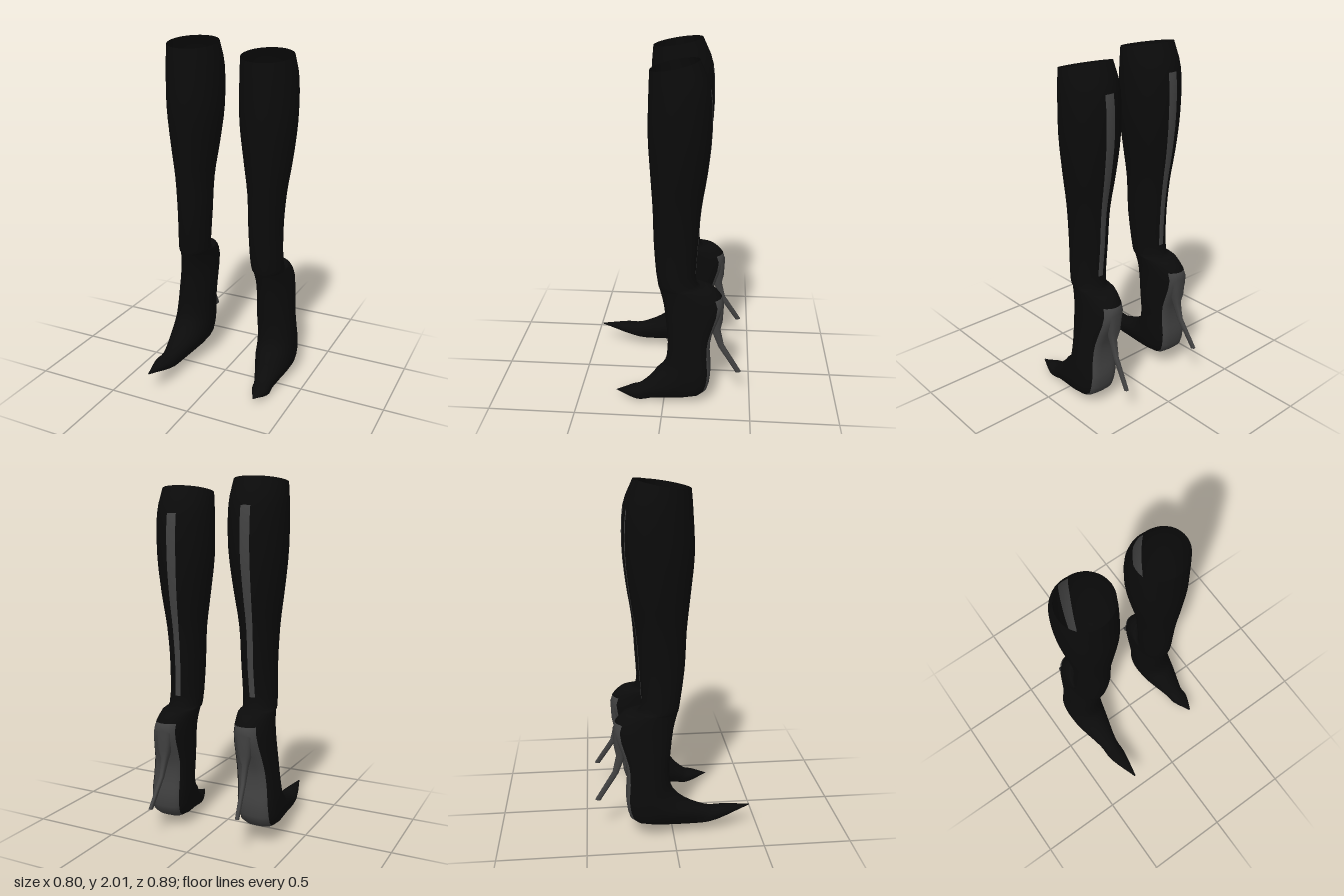
import * as THREE from 'three';

const black = new THREE.MeshStandardMaterial({ color: 0x0b0b0b, side: THREE.DoubleSide });
black.name = 'black leather';
const grey = new THREE.MeshStandardMaterial({ color: 0x424242, side: THREE.DoubleSide });
grey.name = 'charcoal sole';

const SEG = 36;
const STEPS = 3;
const { smoothstep } = THREE.MathUtils;

// Cross-sections from top to toe: front z, front y, back z, back y, centre x, half width
const BODY = [
  [0.10, 1.955, -0.18, 2.0, 0.22, 0.15],
  [0.11, 1.84, -0.24, 1.85, 0.22, 0.163],
  [0.12, 1.62, -0.25, 1.62, 0.22, 0.161],
  [0.10, 1.4, -0.23, 1.4, 0.225, 0.136],
  [0.08, 1.2, -0.2, 1.2, 0.228, 0.108],
  [0.07, 0.98, -0.184, 0.98, 0.228, 0.097],
  [0.04, 0.76, -0.18, 0.75, 0.24, 0.094],
  [0.03, 0.72, -0.27, 0.735, 0.243, 0.095],
  [0.005, 0.62, -0.335, 0.64, 0.253, 0.099],
  [-0.015, 0.45, -0.272, 0.45, 0.265, 0.107],
  [-0.018, 0.35, -0.262, 0.33, 0.275, 0.11],
  [0, 0.26, -0.268, 0.2, 0.283, 0.114],
  [0.08, 0.185, -0.21, 0.085, 0.288, 0.105],
  [0.2, 0.14, 0.1, 0.045, 0.288, 0.056],
  [0.29, 0.138, 0.25, 0.06, 0.288, 0.05],
  [0.45, 0.13, 0.45, 0.125, 0.278, 0.004],
];

// Stiletto, from the heel seat to its closed tip
const HEEL = [
  [-0.27, 0.6, -0.337, 0.64, 0.252, 0.05],
  [-0.265, 0.5, -0.332, 0.53, 0.253, 0.036],
  [-0.275, 0.45, -0.32, 0.47, 0.255, 0.019],
  [-0.31, 0.36, -0.343, 0.37, 0.259, 0.012],
  [-0.415, 0.2, -0.445, 0.207, 0.272, 0.01],
  [-0.43, 0.203, -0.43, 0.203, 0.272, 0],
];

// Adds in-between cross-sections along smooth curves
function refine(rings) {
  const count = (rings.length - 1) * STEPS;
  const track = (k) => new THREE.CatmullRomCurve3(
    rings.map((r) => new THREE.Vector3(r[k], r[k + 1], r[k + 2])), false, 'catmullrom', 0.5,
  ).getPoints(count);
  const first = track(0), second = track(3);
  return first.map((p, i) => [...p.toArray(), ...second[i].toArray()]);
}

// Skins a row of cross-sections; isGrey(row, degrees from the back) picks the colour of each face
function loft(rings, side, isGrey) {
  const positions = [];
  for (const [fz, fy, bz, by, cx, hw] of rings) {
    // The sole side of the foot is squarer than the rest
    const square = 2 + 1.5 * smoothstep(-by, -0.74, -0.3) * (1 - smoothstep(bz, 0.1, 0.45));
    for (let j = 0; j < SEG; j++) {
      const a = (j / SEG) * Math.PI * 2;
      const c = Math.cos(a), s = Math.sin(a);
      const e = c < 0 ? 2 / square : 1;
      const u = Math.sign(c) * Math.abs(c) ** e;
      const v = Math.sign(s) * Math.abs(s) ** e;
      positions.push(
        side * (cx + v * hw),
        (fy + by) / 2 + (u * (fy - by)) / 2,
        (fz + bz) / 2 + (u * (fz - bz)) / 2,
      );
    }
  }
  const faces = [[], []];
  for (let i = 0; i < rings.length - 1; i++) {
    for (let j = 0; j < SEG; j++) {
      const a = i * SEG + j, b = i * SEG + ((j + 1) % SEG);
      const c = a + SEG, d = b + SEG;
      const fromBack = Math.abs(((j + 0.5) / SEG) * 360 - 180);
      const list = faces[isGrey(i, fromBack) ? 1 : 0];
      if (side > 0) list.push(a, c, b, b, c, d);
      else list.push(a, b, c, b, d, c);
    }
  }
  const geo = new THREE.BufferGeometry();
  geo.setAttribute('position', new THREE.Float32BufferAttribute(positions, 3));
  geo.setIndex([...faces[0], ...faces[1]]);
  geo.addGroup(0, faces[0].length, 0);
  geo.addGroup(faces[0].length, faces[1].length, 1);
  geo.computeVertexNormals();
  return geo;
}

// The left boot sits lower, with a shorter toe pointing down
function lowerToe([fz, fy, bz, by, cx, hw]) {
  const t = (z) => Math.max(0, z - 0.05) / 0.4;
  const shift = (z) => (z > 0.05 ? 0.05 + (z - 0.05) * 0.575 : z);
  return [
    shift(fz), fy - 0.045 - 0.06 * t(fz),
    shift(bz), by - 0.045 - 0.05 * t(bz),
    cx + 0.035 * t(fz), hw,
  ];
}

function boot(name, side) {
  const group = new THREE.Group();
  group.name = name;
  const pose = (rings) => (side > 0 ? rings.map(lowerToe) : rings);

  // Open shaft and foot in one skin: back seam strip on the shaft, sole under the foot
  const isSeam = (i, deg) => i >= STEPS && i < 5.6 * STEPS && deg < 10;
  const isSole = (i, deg) => i >= 7.6 * STEPS && deg < 40;
  const body = new THREE.Mesh(
    loft(pose(refine(BODY)), side, (i, deg) => isSeam(i, deg) || isSole(i, deg)),
    [black, grey],
  );
  body.name = 'shaftAndFoot';

  const heel = new THREE.Mesh(loft(pose(HEEL), side, () => true), [black, grey]);
  heel.name = 'stilettoHeel';

  group.add(body, heel);
  return group;
}

export function createModel() {
  const model = new THREE.Group();
  model.name = 'highHeeledBoots';
  model.add(boot('leftBoot', 1), boot('rightBoot', -1));
  return model;
}
